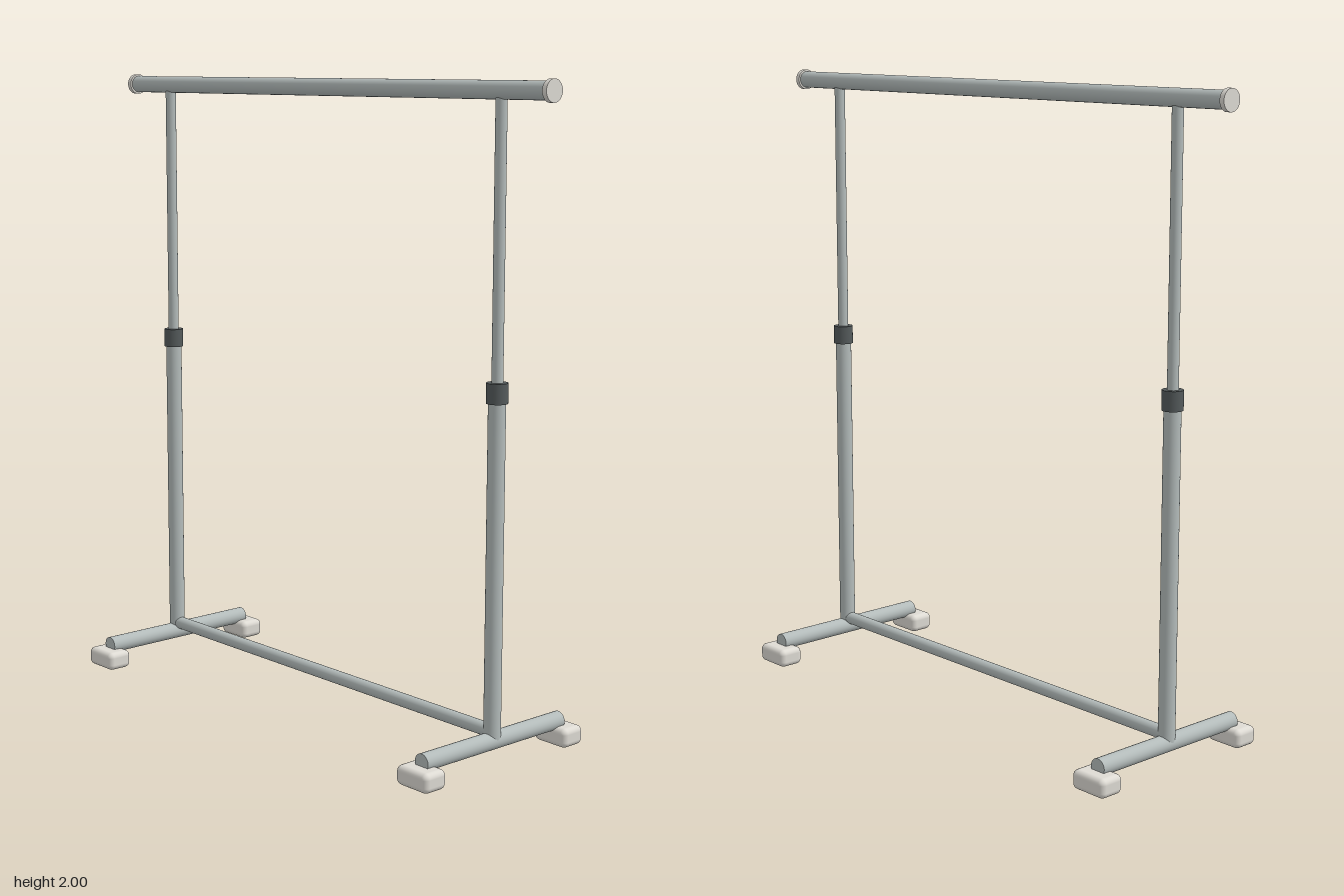
import * as THREE from 'three';
import { RoundedBoxGeometry } from 'three/addons/geometries/RoundedBoxGeometry.js';

const steel = new THREE.MeshStandardMaterial({ color: 0xb4bcbb });
const dark = new THREE.MeshStandardMaterial({ color: 0x555b5c });
const plastic = new THREE.MeshStandardMaterial({ color: 0xdedbd4 });

// Straight tube centred on a point, running along the given axis
function tube(name, radius, length, axis, [x, y, z], material = steel) {
  const geometry = new THREE.CylinderGeometry(radius, radius, length, 32);
  if (axis === 'x') geometry.rotateZ(Math.PI / 2);
  if (axis === 'z') geometry.rotateX(Math.PI / 2);
  const mesh = new THREE.Mesh(geometry, material);
  mesh.name = name;
  mesh.position.set(x, y, z);
  return mesh;
}

// One end of the rack: base tube, feet and telescopic post
function createSide(name, side) {
  const group = new THREE.Group();
  group.name = name;
  const x = side * 0.767;

  group.add(tube('baseTube', 0.027, 0.576, 'z', [x, 0.072, 0]));
  group.add(tube('lowerPost', 0.026, 1.03, 'y', [x, 0.585, 0]));
  group.add(tube('heightCollar', 0.032, 0.06, 'y', [x, 1.11, 0], dark));
  group.add(tube('upperPost', 0.017, 0.85, 'y', [x, 1.535, 0]));

  for (const end of [-1, 1]) {
    const foot = new THREE.Mesh(new RoundedBoxGeometry(0.128, 0.06, 0.086, 4, 0.018), plastic);
    foot.name = end > 0 ? 'frontFoot' : 'backFoot';
    foot.position.set(x, 0.031, end * 0.29);
    group.add(foot);
  }

  // End cap of the hanging rail
  group.add(tube('railCap', 0.033, 0.016, 'x', [side * 0.957, 1.967, 0], plastic));
  return group;
}

export function createModel() {
  const model = new THREE.Group();
  model.name = 'clothesRack';
  model.add(tube('hangingRail', 0.027, 1.91, 'x', [0, 1.967, 0]));
  model.add(tube('bottomRail', 0.021, 1.534, 'x', [0, 0.101, 0]));
  model.add(createSide('leftSide', 1), createSide('rightSide', -1));
  return model;
}
